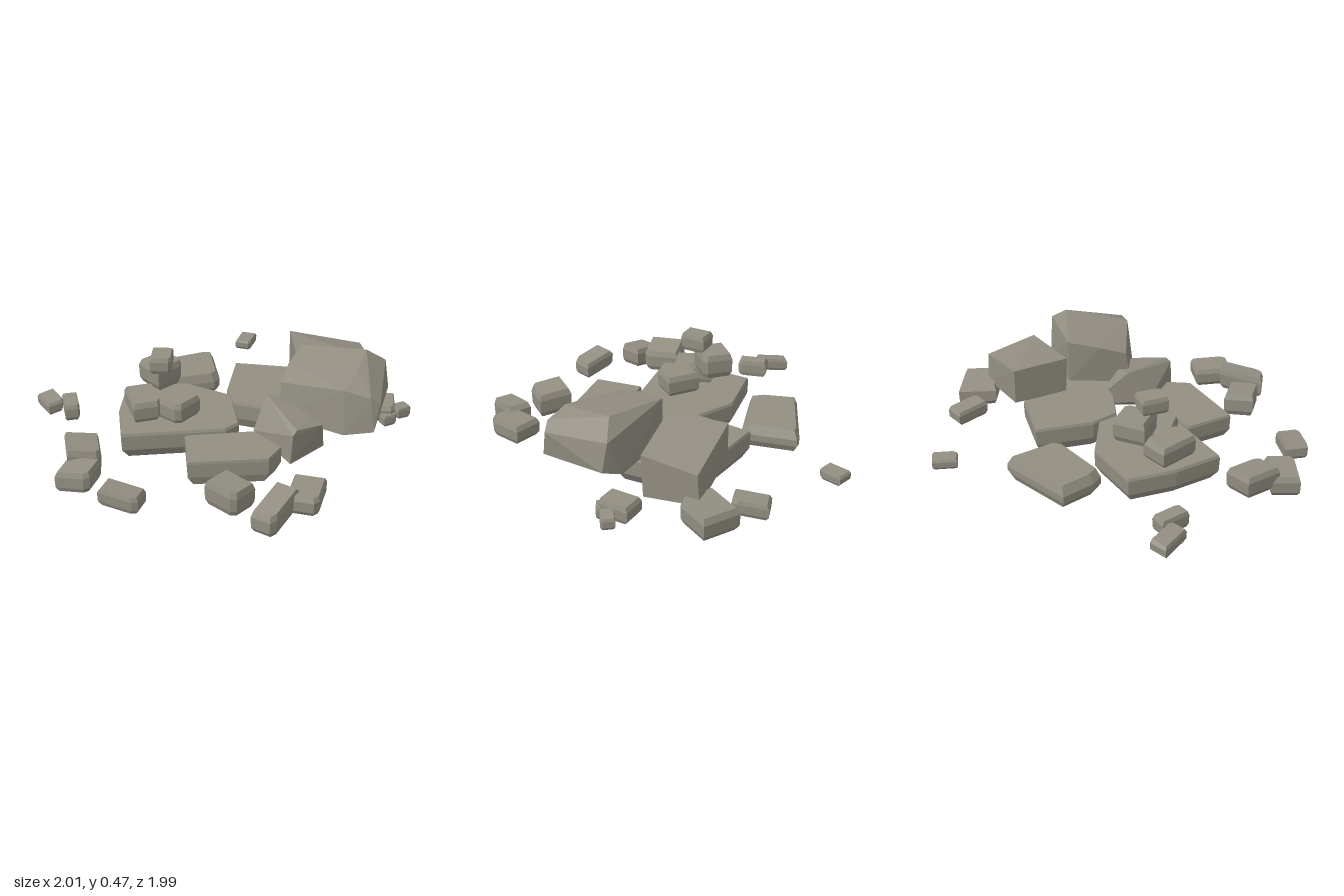
import * as THREE from 'three';
import { ConvexGeometry } from 'three/addons/geometries/ConvexGeometry.js';

export function createModel() {
  const group = new THREE.Group();
  const stone = new THREE.MeshStandardMaterial({ color: 0x928e82 });
  stone.name = 'stone';

  // convex boulder from corner points [x, y, z]
  function hull(name, pts) {
    const mesh = new THREE.Mesh(new ConvexGeometry(pts.map(p => new THREE.Vector3(...p))), stone);
    mesh.name = name;
    group.add(mesh);
  }

  // stone from a plan outline [x, z]; rings are [height fraction, scale], tilt is the slope along x and z
  function rock(name, outline, y0, y1, rings, tx = 0, tz = 0) {
    const cx = outline.reduce((s, p) => s + p[0], 0) / outline.length;
    const cz = outline.reduce((s, p) => s + p[1], 0) / outline.length;
    hull(name, rings.flatMap(([f, k]) => outline.map(([x, z]) => {
      const dx = (x - cx) * k, dz = (z - cz) * k;
      return [cx + dx, y0 + (y1 - y0) * f + dx * tx + dz * tz, cz + dz];
    })));
  }

  // small stone: a turned rectangle in plan with one chipped corner, bevelled above and below
  const chippedSquare = [[-0.5, -0.5], [0.5, -0.5], [0.5, 0.36], [0.36, 0.5], [-0.5, 0.5]];
  const pebbleRings = [[0, 0.84], [0.22, 0.98], [0.75, 1], [1, 0.88]];
  function pebble(name, [x, z, width, depth, degrees, y0, y1, tx, tz]) {
    const a = THREE.MathUtils.degToRad(degrees), c = Math.cos(a), s = Math.sin(a);
    const outline = chippedSquare.map(([u, v]) =>
      [x + u * width * c - v * depth * s, z + u * width * s + v * depth * c]);
    rock(name, outline, y0, y1, pebbleRings, tx, tz);
  }

  // flat ground slabs
  const slabRings = [[0, 0.88], [0.35, 0.99], [0.9, 1], [1, 0.98]];
  const bevelledRings = [[0, 0.9], [0.3, 1], [0.6, 1], [1, 0.88]];
  rock('leftSlab', [[-0.52, -0.22], [-0.2, -0.25], [0.04, -0.11], [0.07, 0.19], [0, 0.25], [-0.53, 0.29], [-0.55, 0.03]],
    0.015, 0.16, slabRings);
  rock('backSlab', [[-0.44, -0.53], [-0.08, -0.66], [-0.04, -0.66], [-0.01, -0.4], [-0.04, -0.36], [-0.36, -0.29], [-0.4, -0.35]],
    0.03, 0.15, bevelledRings);
  rock('centreSlab', [[0.08, -0.45], [0.39, -0.39], [0.57, -0.1], [0.56, 0.07], [0.23, 0.07], [0.05, 0], [0.02, -0.15]],
    0.025, 0.175, slabRings);
  rock('frontSlab', [[-0.21, 0.29], [0.14, 0.26], [0.27, 0.42], [0.2, 0.53], [-0.2, 0.55]],
    0.015, 0.15, slabRings);

  // large boulders
  hull('bigBoulder', [
    [0.41, 0.45, -0.11], [0.73, 0.48, 0.02], [0.84, 0.4, -0.02], [0.33, 0.42, 0.04], [0.66, 0.445, 0.19],
    [0.58, 0.41, 0.33], [0.28, 0.38, 0.17], [0.71, 0.38, 0.36], [0.76, 0.34, 0.35], [0.86, 0.25, 0],
    [0.41, 0.22, -0.11], [0.77, 0.21, -0.06], [0.73, 0.2, 0.38], [0.58, 0.175, 0.36], [0.28, 0.2, 0.2]]);
  hull('leaningBoulder', [
    [0.21, 0.3, 0.15], [0.5, 0.24, 0.1], [0.34, 0.26, 0.45], [0.48, 0.22, 0.33], [0.14, 0.14, 0.24],
    [0.31, 0.08, 0.47], [0.32, 0.24, 0.47], [0.4, 0.04, 0], [0.28, 0.04, 0.25], [0.5, 0.05, 0.25]]);
  hull('tiltedBlock', [
    [0.38, 0.37, -0.44], [0.39, 0.37, -0.13], [0.78, 0.34, -0.16], [0.77, 0.29, -0.44],
    [0.38, 0.18, -0.44], [0.39, 0.17, -0.14], [0.78, 0.12, -0.17], [0.77, 0.13, -0.45]]);

  // balanced stack on the left slab: x, z, width, depth, turn, bottom, top
  pebble('stackLeft', [-0.42, 0.06, 0.15, 0.22, -15, 0.155, 0.27]);
  pebble('stackRight', [-0.25, 0.09, 0.18, 0.17, 42, 0.155, 0.27]);
  pebble('stackMiddle', [-0.325, -0.085, 0.17, 0.16, -40, 0.26, 0.39]);
  pebble('stackTop', [-0.32, 0.01, 0.11, 0.14, 5, 0.385, 0.475]);

  // loose stones around the edge: as above, then slope along x and z
  const backStones = [
    [0.165, -0.92, 0.09, 0.13, 20, 0.05, 0.105],
    [0.585, -0.64, 0.11, 0.18, -12, 0.04, 0.12, 0, 0.1],
    [0.77, -0.495, 0.21, 0.21, 31, 0.04, 0.16, 0, 0.1],
    [-0.93, -0.22, 0.09, 0.17, -27, 0.04, 0.11, 0.15],
    [-0.815, -0.145, 0.08, 0.16, -10, 0.04, 0.13],
    [0.85, -0.08, 0.13, 0.17, 8, 0.04, 0.13],
    [0.87, 0, 0.08, 0.06, -25, 0.03, 0.09],
    [0.95, -0.065, 0.09, 0.07, -30, 0.04, 0.1, -0.1],
  ];
  const frontStones = [
    [-0.715, 0.37, 0.17, 0.2, -8, 0.05, 0.17, -0.15],
    [-0.73, 0.535, 0.18, 0.15, 22, 0.03, 0.14, 0.15],
    [-0.51, 0.735, 0.2, 0.12, 20, 0.04, 0.13, -0.15],
    [0, 0.74, 0.18, 0.16, 41, 0.03, 0.16, -0.1],
    [0.36, 0.76, 0.16, 0.21, 17, 0.04, 0.14],
    [0.205, 0.87, 0.12, 0.24, 35, 0.025, 0.14, 0.1, -0.17],
  ];
  backStones.forEach((s, i) => pebble('backStone' + (i + 1), s));
  frontStones.forEach((s, i) => pebble('frontStone' + (i + 1), s));

  return group;
}
